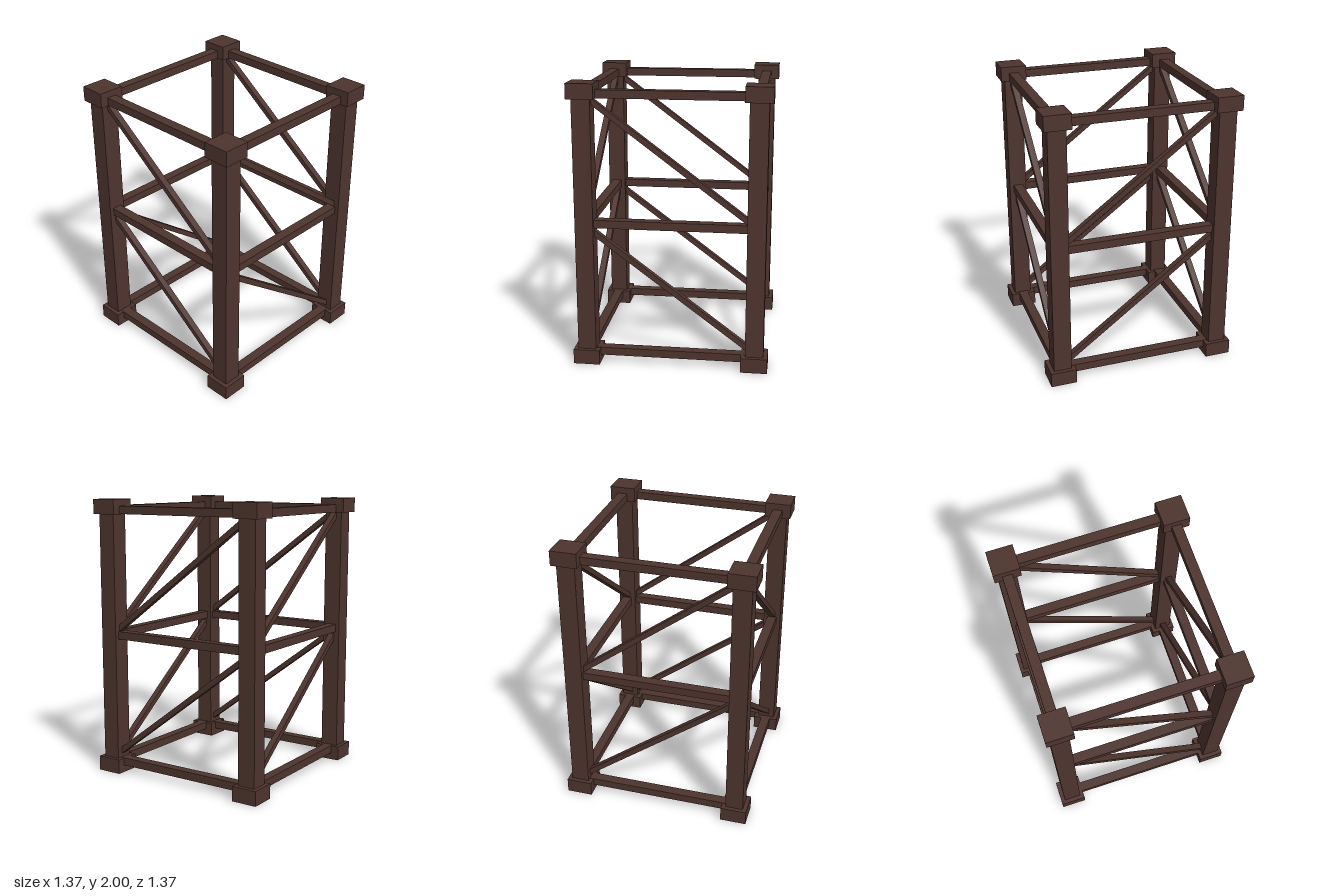
import * as THREE from 'three';

export function createModel() {
  const group = new THREE.Group();
  group.name = 'timberFrame';
  const wood = new THREE.MeshStandardMaterial({ color: 0x4e342e });
  wood.name = 'darkBrownWood';

  const R = 0.593;      // post centre offset
  const POST = 0.128;   // post thickness
  const CAP = 0.187;    // corner block width
  const CAP_H = 0.106;  // corner block height
  const SPAN = 2 * R - POST;

  function box(parent, name, size, pos, tilt = 0) {
    const mesh = new THREE.Mesh(new THREE.BoxGeometry(...size), wood);
    mesh.name = name;
    mesh.position.set(...pos);
    mesh.rotation.z = tilt;
    parent.add(mesh);
    return mesh;
  }

  // Corner posts with a block at the foot and head
  for (const x of [-R, R]) {
    for (const z of [-R, R]) {
      box(group, 'post', [POST, 2 - CAP_H, POST], [x, 1, z]);
      box(group, 'footBlock', [CAP, CAP_H, CAP], [x, CAP_H / 2, z]);
      box(group, 'headBlock', [CAP, CAP_H, CAP], [x, 2 - CAP_H / 2, z]);
    }
  }

  // One side panel: three rails and two diagonal braces, high end at -x
  function panel(name) {
    const side = new THREE.Group();
    side.name = name;
    for (const y of [0.08, 1.025, 1.925]) {
      box(side, 'rail', [SPAN + 0.04, 0.057, 0.07], [0, y, R]);
    }
    const tilt = -Math.atan(0.752);
    const length = (SPAN + 0.04) / Math.cos(tilt);
    for (const y of [0.557, 1.474]) {
      box(side, 'diagonalBrace', [length, 0.038, 0.045], [0, y, R], tilt);
    }
    group.add(side);
    return side;
  }

  // Opposite panels lean the same way, so they are shifted rather than turned
  panel('frontPanel');
  panel('backPanel').position.z = -2 * R;

  // Side panels: braces are high at the back (-z)
  const left = panel('leftPanel');
  left.rotation.y = -Math.PI / 2;
  left.position.x = 2 * R;
  const right = panel('rightPanel');
  right.rotation.y = -Math.PI / 2;

  return group;
}
